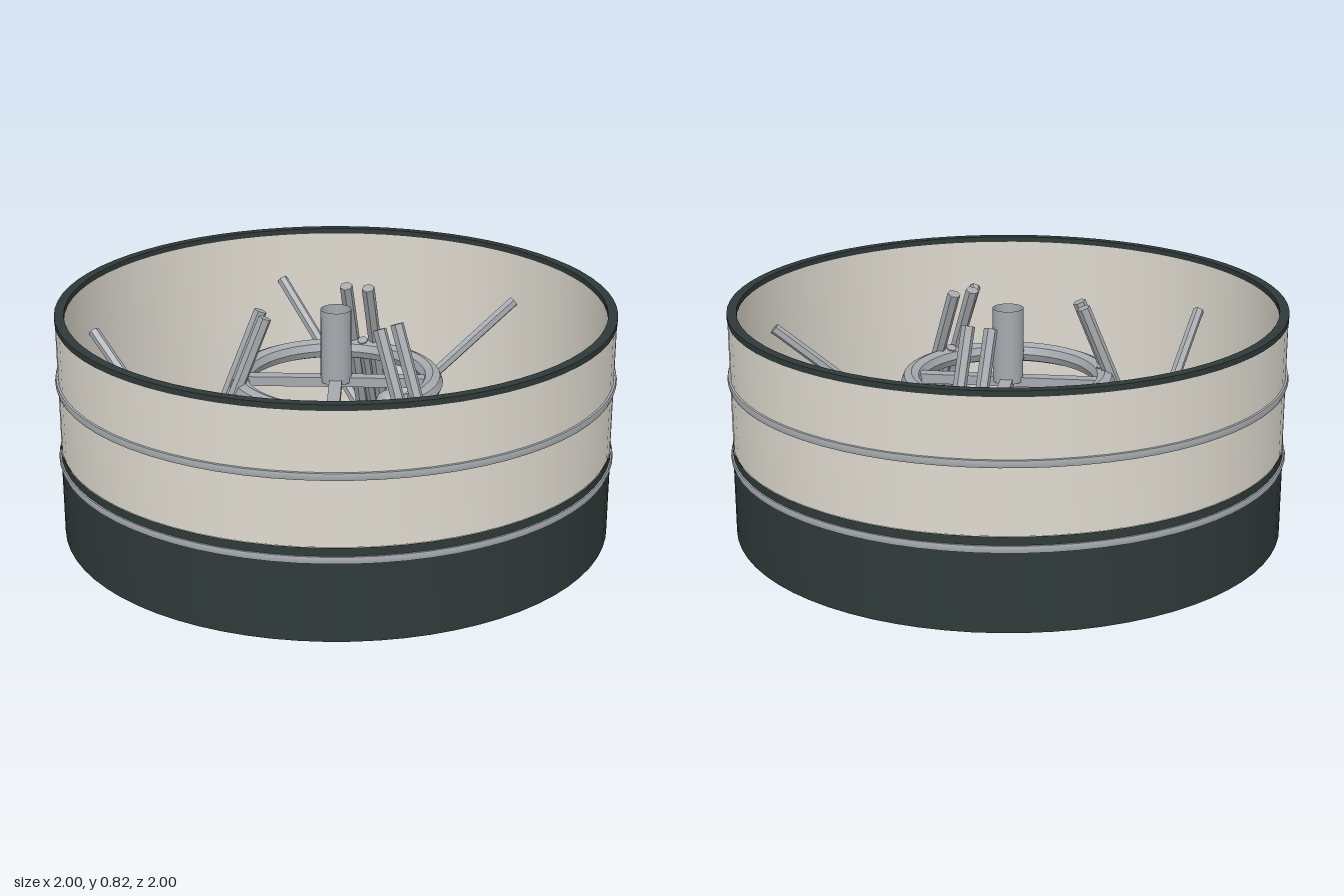
import * as THREE from 'three';
import { toCreasedNormals } from 'three/addons/utils/BufferGeometryUtils.js';

const material = (name, color) => {
  const m = new THREE.MeshStandardMaterial({ color, side: THREE.DoubleSide });
  m.name = name;
  return m;
};

export function createModel() {
  const beige = material('beige panel', 0xdedad0);
  const dark = material('dark green', 0x2f3a38);
  const grey = material('grey metal', 0xa6aaae);
  const orange = material('orange block', 0xbb842a);

  const model = new THREE.Group();
  model.name = 'stage';

  const add = (parent, name, geometry, mat, x = 0, y = 0, z = 0) => {
    const mesh = new THREE.Mesh(geometry, mat);
    mesh.name = name;
    mesh.position.set(x, y, z);
    parent.add(mesh);
    return mesh;
  };
  // Revolved profile of [radius, height] pairs with sharp corners
  const lathe = (parent, name, points, mat, z = 0, segments = 72) => add(parent, name,
    toCreasedNormals(new THREE.LatheGeometry(points.map(p => new THREE.Vector2(...p)), segments), 0.5), mat, 0, 0, z);
  // Straight bar between two points
  const bar = (parent, name, a, b, radius, sides = 6) => {
    const from = new THREE.Vector3(...a), to = new THREE.Vector3(...b);
    const dir = to.clone().sub(from);
    const geometry = toCreasedNormals(new THREE.CylinderGeometry(radius, radius, dir.length(), sides), 0.5);
    const mesh = add(parent, name, geometry, grey);
    mesh.position.copy(from).add(to).multiplyScalar(0.5);
    mesh.quaternion.setFromUnitVectors(new THREE.Vector3(0, 1, 0), dir.normalize());
  };

  // Outer shell
  lathe(model, 'lowerBand', [[0.962, 0], [0.992, 0], [0.992, 0.335]], dark);
  lathe(model, 'upperShell', [[0.99, 0.335], [0.99, 0.805]], beige);
  lathe(model, 'innerWall', [[0.96, 0.805], [0.96, 0]], beige);
  lathe(model, 'topRim', [[0.958, 0.8], [0.992, 0.8], [0.992, 0.82], [0.958, 0.82], [0.958, 0.8]], dark);
  for (const y of [0.292, 0.58]) {
    lathe(model, 'hoopRing',
      [[0.985, y - 0.014], [0.997, y - 0.012], [1, y], [0.997, y + 0.012], [0.985, y + 0.014]], grey);
  }

  // Floor plate with three round openings
  const unitRadius = 0.5, openingRadius = 0.292;
  const floorShape = new THREE.Shape().absarc(0, 0, 0.955, 0, Math.PI * 2);
  for (let i = 0; i < 3; i++) {
    const a = i * Math.PI * 2 / 3;
    const hole = new THREE.Path();
    hole.absarc(Math.sin(a) * unitRadius, -Math.cos(a) * unitRadius, openingRadius, 0, Math.PI * 2, true);
    floorShape.holes.push(hole);
  }
  const floor = new THREE.ExtrudeGeometry(floorShape, { depth: 0.01, bevelEnabled: false, curveSegments: 36 });
  floor.rotateX(-Math.PI / 2);
  add(model, 'floorPlate', floor, grey, 0, 0.018, 0);

  // Central ring, cross bars and open tube
  const ring = toCreasedNormals(new THREE.TorusGeometry(0.348, 0.037, 8, 48), 0.5);
  ring.rotateX(Math.PI / 2);
  add(model, 'centreRing', ring, grey, 0, 0.53, 0);
  for (const s of [-1, 1]) {
    const cross = add(model, 'crossBar', new THREE.BoxGeometry(0.66, 0.035, 0.045), grey, 0, 0.53, 0);
    cross.rotation.y = s * Math.PI / 4;
  }
  add(model, 'centreTube', new THREE.CylinderGeometry(0.055, 0.055, 0.27, 24, 1, true), grey, 0, 0.665, 0);

  // Three identical supports, spaced evenly round the axis
  for (let i = 0; i < 3; i++) {
    const unit = new THREE.Group();
    unit.name = 'supportUnit';
    unit.rotation.y = i * Math.PI * 2 / 3;
    model.add(unit);

    // Shallow funnel with its rim in the floor opening
    lathe(unit, 'openingRim', [[0.292, 0.015], [0.292, 0.05]], grey, unitRadius, 32);
    lathe(unit, 'funnel', [[0.292, 0.05], [0.175, 0.016]], beige, unitRadius, 16);

    // Foot, post and mounting block
    add(unit, 'foot', new THREE.CylinderGeometry(0.058, 0.058, 0.035, 20), dark, 0, 0.02, unitRadius);
    bar(unit, 'post', [0, 0.03, unitRadius], [0, 0.25, unitRadius], 0.025, 12);
    add(unit, 'mountingBlock', new THREE.BoxGeometry(0.1, 0.08, 0.07), orange, 0, 0.26, 0.51);

    // Twin inclined arms, middle link and round joint
    for (const s of [-1, 1]) {
      bar(unit, 'arm', [s * 0.042, 0.27, 0.48], [s * 0.042, 0.8, 0.265], 0.024);
      bar(unit, 'wallStrut', [s * 0.02, 0.17, 0.51], [s * 0.475, 0.62, 0.815], 0.021);
    }
    bar(unit, 'middleLink', [0, 0.26, 0.49], [0, 0.57, 0.34], 0.02);
    add(unit, 'roundJoint', new THREE.SphereGeometry(0.055, 16, 12), grey, -0.09, 0.3, 0.4);
  }
  return model;
}
